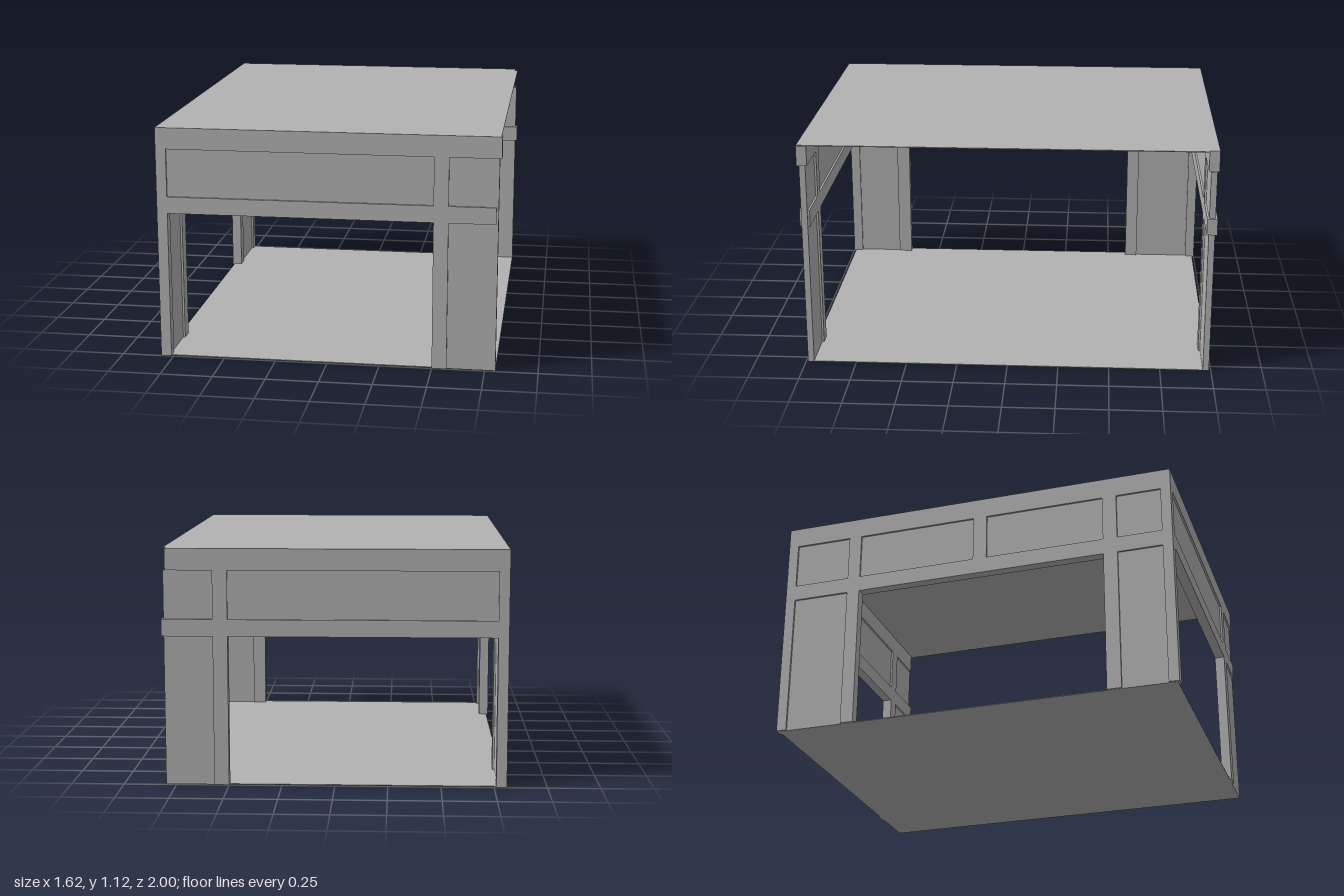
import * as THREE from 'three';

const grey = new THREE.MeshStandardMaterial({ color: 0xb2b2b2 });
grey.name = 'plain grey';

const LOW = 0.71, MID = 0.79, HIGH = 1.02, TOP = 1.118; // heights of the beams
const THICK = 0.05, PANEL = 0.03;

// Box given by its extents along x, y and z
function block(name, x0, x1, y0, y1, z0, z1) {
  const mesh = new THREE.Mesh(new THREE.BoxGeometry(x1 - x0, y1 - y0, z1 - z0), grey);
  mesh.position.set((x0 + x1) / 2, (y0 + y1) / 2, (z0 + z1) / 2);
  mesh.name = name;
  return mesh;
}

// Front or back wall: beams, posts and recessed panels, open in the middle
function endWall(name, z, topEnd, lowEnd) {
  const wall = new THREE.Group();
  wall.name = name;
  const add = (part, x0, x1, y0, y1, t = THICK) =>
    wall.add(block(part, x0, x1, y0, y1, z - t / 2, z + t / 2));
  add('topBeam', -0.81, topEnd, HIGH, TOP);
  add('lowerBeam', -0.76, lowEnd, LOW, MID);
  add('cornerPost', -0.81, -0.76, 0, HIGH);
  add('lowerPost', 0.5, 0.57, 0, LOW);
  add('upperPost', 0.5, 0.57, MID, HIGH);
  add('upperPanel', -0.76, 0.5, MID, HIGH, PANEL);
  add('upperEndPanel', 0.57, 0.8, MID, HIGH, PANEL);
  add('pillarPanel', 0.57, 0.8, 0, LOW, PANEL);
  add('beamCore', 0.57, 0.8, LOW, MID, PANEL);
  return wall;
}

// Long wall on the -x side
function sideWall() {
  const wall = new THREE.Group();
  wall.name = 'sideWall';
  const x = -0.785;
  const add = (part, z0, z1, y0, y1, t = THICK) =>
    wall.add(block(part, x - t / 2, x + t / 2, y0, y1, z0, z1));
  add('topBeam', -0.95, 0.95, HIGH, TOP);
  add('lowerBeam', -0.95, 0.95, LOW, MID);
  const posts = [[-0.665, -0.6], [0, 0.07], [0.66, 0.73]];
  let start = -0.95;
  for (const [z0, z1] of posts) {
    add('upperPanel', start, z0, MID, HIGH, PANEL);
    add('upperPost', z0, z1, MID, HIGH);
    start = z1;
  }
  add('upperPanel', start, 0.95, MID, HIGH, PANEL);
  // Pillars beside the opening
  add('lowerPost', -0.665, -0.6, 0, LOW);
  add('lowerPost', 0.66, 0.73, 0, LOW);
  add('pillarPanel', -0.95, -0.665, 0, LOW, PANEL);
  add('pillarPanel', 0.73, 0.95, 0, LOW, PANEL);
  return wall;
}

export function createModel() {
  const model = new THREE.Group();
  model.name = 'openPavilion';
  model.add(
    endWall('frontWall', 0.975, 0.81, 0.79),
    endWall('backWall', -0.975, 0.79, 0.81),
    sideWall(),
    block('roof', -0.81, 0.805, TOP, 1.122, -0.95, 1),
    block('roofBackEdge', -0.81, 0.79, TOP, 1.122, -1, -0.95),
    block('floor', -0.8, 0.8, -0.001, 0.003, -0.99, 0.99),
  );
  return model;
}
